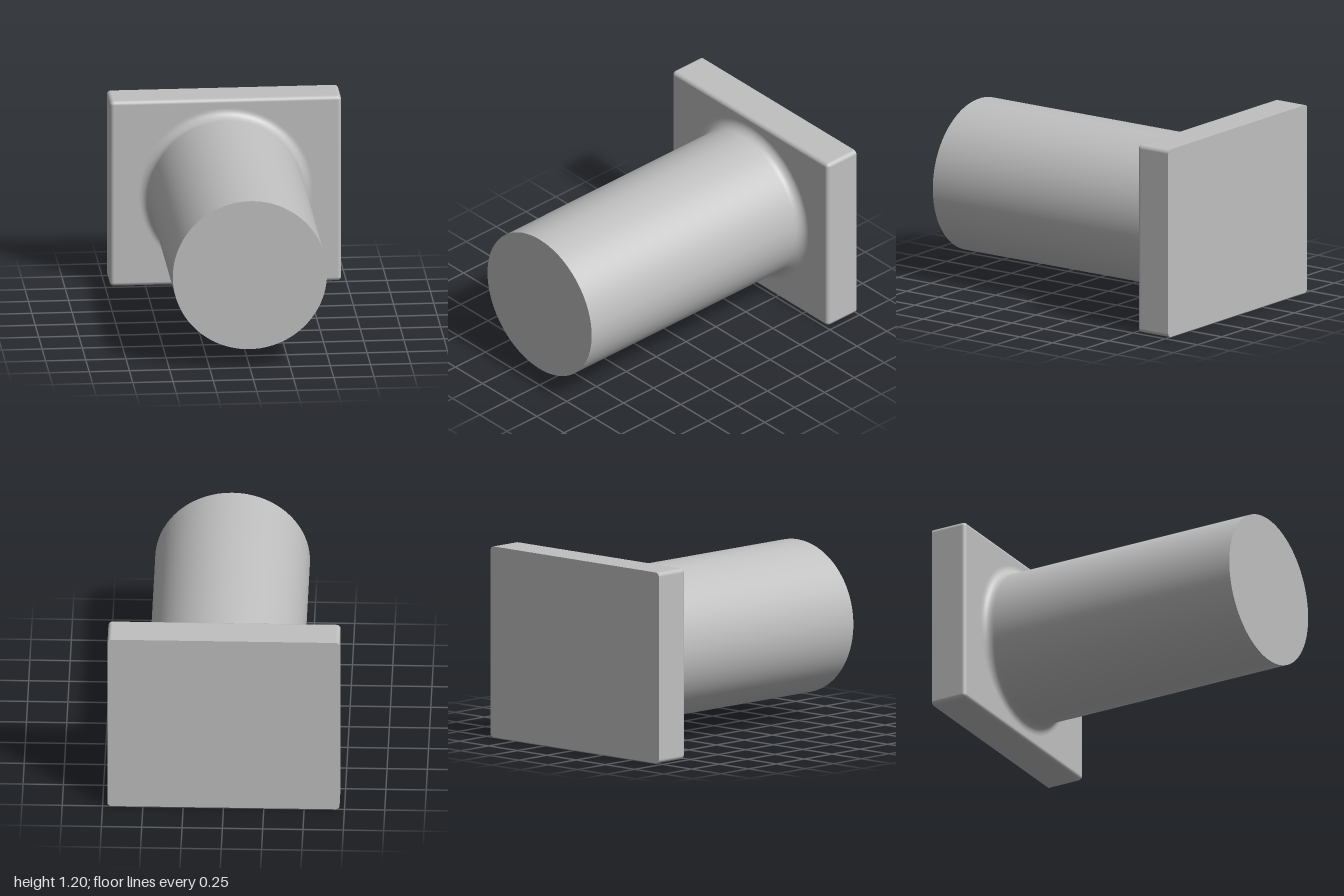
import * as THREE from 'three';

const R = 0.48, AXIS_Y = 0.6, FILLET = 0.06;
const W = 0.72, H = 0.6, BACK = -1, FACE = -0.76, FRONT = 1, EDGE = 0.026;

// Flat plate with rounded corners and a rounded front rim; the back rim stays sharp
function plateGeometry() {
  const pos = [], nor = [], idx = [], CS = 8, ES = 8;
  const corners = [[1, 1], [-1, 1], [-1, -1], [1, -1]];
  const n = 4 * (CS + 1);

  // one loop round the plate: inset from the outline, depth z, tilt of the normal
  const loop = (inset, z, tilt, capZ = 0) => {
    const start = pos.length / 3;
    corners.forEach(([sx, sy], c) => {
      for (let i = 0; i <= CS; i++) {
        const a = (c + i / CS) * Math.PI / 2, dx = Math.cos(a), dy = Math.sin(a);
        pos.push(sx * (W - EDGE) + (EDGE - inset) * dx, sy * (H - EDGE) + (EDGE - inset) * dy, z);
        if (capZ) nor.push(0, 0, capZ);
        else nor.push(dx * Math.cos(tilt), dy * Math.cos(tilt), Math.sin(tilt));
      }
    });
    return start;
  };
  const bridge = (a, b) => {
    for (let i = 0; i < n; i++) {
      const j = (i + 1) % n;
      idx.push(a + i, a + j, b + j, a + i, b + j, b + i);
    }
  };

  // sides, then the rounded front rim
  let prev = loop(0, BACK, 0);
  for (let k = 0; k <= ES; k++) {
    const t = k / ES * Math.PI / 2;
    const next = loop(EDGE * (1 - Math.cos(t)), FACE - EDGE * (1 - Math.sin(t)), t);
    bridge(prev, next);
    prev = next;
  }

  // flat front and back
  for (const [inset, z, s] of [[EDGE, FACE, 1], [0, BACK, -1]]) {
    const a = loop(inset, z, 0, s), centre = pos.length / 3;
    pos.push(0, 0, z);
    nor.push(0, 0, s);
    for (let i = 0; i < n; i++) {
      const j = (i + 1) % n;
      if (s > 0) idx.push(centre, a + i, a + j);
      else idx.push(centre, a + j, a + i);
    }
  }

  const g = new THREE.BufferGeometry();
  g.setAttribute('position', new THREE.Float32BufferAttribute(pos, 3));
  g.setAttribute('normal', new THREE.Float32BufferAttribute(nor, 3));
  g.setIndex(idx);
  return g;
}

export function createModel() {
  const group = new THREE.Group();
  group.name = 'flangedPin';
  const grey = new THREE.MeshStandardMaterial({ color: 0xc0c0c0 });
  grey.name = 'light grey';

  const add = (name, geometry, z = 0) => {
    const mesh = new THREE.Mesh(geometry, grey);
    mesh.name = name;
    mesh.position.set(0, AXIS_Y, z);
    group.add(mesh);
  };

  add('basePlate', plateGeometry());

  // round shaft that flares into the plate with a concave fillet
  const profile = [];
  for (let i = 0; i <= 12; i++) {
    const a = i / 12 * Math.PI / 2;
    profile.push(new THREE.Vector2(R + FILLET * (1 - Math.sin(a)), FACE + FILLET * (1 - Math.cos(a))));
  }
  profile.push(new THREE.Vector2(R, FACE + FILLET + 0.01), new THREE.Vector2(R, FRONT));
  add('shaft', new THREE.LatheGeometry(profile, 96).rotateX(Math.PI / 2));

  // flat end of the shaft
  add('shaftEnd', new THREE.CircleGeometry(R, 96), FRONT);

  return group;
}
